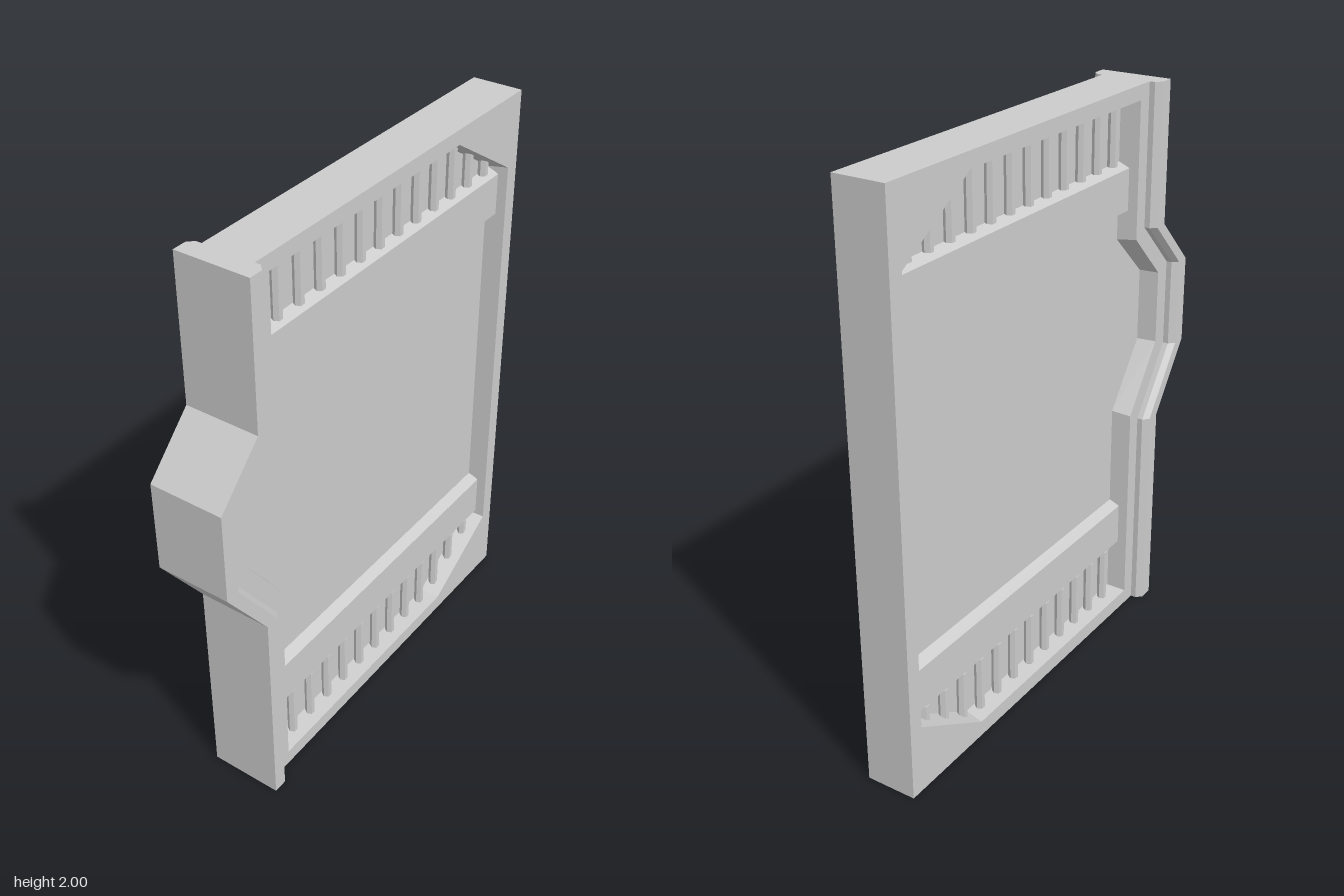
import * as THREE from 'three';

// Thin shell, open underneath
const material = new THREE.MeshStandardMaterial({ color: 0xcccccc, flatShading: true, side: THREE.DoubleSide });

const FACE = 0.09;   // half thickness of the door leaf
const FLOOR = 0.02;  // half thickness of the recessed panel
const BAR = 0.058;   // half thickness of the cross bars
const RIGHT = 0.814;

// Leading edge of the door, top to bottom
const edgePath = [[-0.64, 2], [-0.64, 1.5], [-0.815, 1.325], [-0.815, 1.01], [-0.64, 0.77], [-0.64, 0]];
// Leading rail cross-section: offset inward from the edge, z
const railProfile = [[0, 0], [0, 0.13], [0.05, 0.13], [0.07, 0.11], [0.07, FACE]];
// Recess opening, counter-clockwise
const opening = [
  [-0.515, 1.948], [-0.515, 1.47], [-0.685, 1.3], [-0.685, 1.035], [-0.515, 0.8],
  [-0.515, 0.055], [0.44, 0.055], [0.76, 0.245], [0.76, 1.747], [0.44, 1.948],
];
const inset = opening.map(([x, y]) => [x + (x < 0 ? 0.01 : -0.01), y + (y > 1.4 ? -0.008 : y < 0.9 ? 0.008 : 0)]);

const vectors = (points) => points.map(([x, y]) => new THREE.Vector2(x, y));
const at = (points, z) => points.map(([x, y]) => [x, y, z]);

// Quad strip between two matching rows of points
function strip(a, b, closed = false) {
  const index = [];
  const n = a.length;
  for (let i = 0; i < (closed ? n : n - 1); i++) {
    const j = (i + 1) % n;
    index.push(i, j, n + j, i, n + j, n + i);
  }
  const geometry = new THREE.BufferGeometry();
  geometry.setAttribute('position', new THREE.Float32BufferAttribute([...a, ...b].flat(), 3));
  geometry.setIndex(index);
  return geometry;
}

// Mirror a geometry to the back, turning its faces round
function toSide(geometry, side) {
  if (side < 0) {
    geometry.scale(1, 1, -1);
    const ix = geometry.index.array;
    for (let i = 0; i < ix.length; i += 3) [ix[i], ix[i + 1]] = [ix[i + 1], ix[i]];
  }
  geometry.computeVertexNormals();
  return geometry;
}

function buildSide(side) {
  const group = new THREE.Group();
  group.name = side > 0 ? 'frontSide' : 'backSide';
  const add = (name, geometry) => {
    const mesh = new THREE.Mesh(toSide(geometry, side), material);
    mesh.name = name;
    group.add(mesh);
  };

  // Flat frame around the recess
  const frame = new THREE.Shape(vectors([...edgePath.map(([x, y]) => [x + 0.07, y]), [RIGHT, 0], [RIGHT, 2]]));
  frame.holes.push(new THREE.Path(vectors(opening)));
  add('frame', new THREE.ShapeGeometry(frame).translate(0, 0, FACE));

  // Recess walls and floor
  add('recessWall', strip(at(opening, FACE), at(inset, FLOOR), true));
  add('recessPanel', new THREE.ShapeGeometry(new THREE.Shape(vectors(inset))).translate(0, 0, FLOOR));

  // Chamfered rail swept along the leading edge
  for (let i = 0; i < railProfile.length - 1; i++) {
    const row = ([dx, z]) => edgePath.map(([x, y]) => [x + dx, y, z]);
    add('leadingRail', strip(row(railProfile[i]), row(railProfile[i + 1])));
  }

  // Top and trailing edge; the underside stays open
  const cap = railProfile.map(([dx, z]) => [-0.64 + dx, -z]);
  const top = new THREE.Shape(vectors([...cap, [RIGHT, -FACE], [RIGHT, 0]]));
  add('topEdge', new THREE.ShapeGeometry(top).rotateX(-Math.PI / 2).translate(0, 2, 0));
  add('trailingEdge', strip([[RIGHT, 0, FACE], [RIGHT, 0, 0]], [[RIGHT, 2, FACE], [RIGHT, 2, 0]]));

  // Vertical ribs in the vents above and below the cross bars
  for (let i = 0; i < 12; i++) {
    for (const y of [0.15, 1.85]) {
      const rib = new THREE.CylinderGeometry(0.017, 0.017, 0.22, 6).rotateY(Math.PI / 6);
      add('ventRib', rib.translate(-0.425 + i * 0.1005, y, 0.04));
    }
  }
  return group;
}

// Cross bar with sloped sides, standing out of both recesses
function crossBar(low, high, name) {
  const slope = 0.018;
  const shape = new THREE.Shape(vectors([
    [-BAR, low + slope], [-FLOOR, low], [FLOOR, low], [BAR, low + slope],
    [BAR, high - slope], [FLOOR, high], [-FLOOR, high], [-BAR, high - slope],
  ]));
  const geometry = new THREE.ExtrudeGeometry(shape, { depth: 1.261, bevelEnabled: false });
  geometry.rotateY(Math.PI / 2).translate(-0.508, 0, 0);
  const mesh = new THREE.Mesh(geometry, material);
  mesh.name = name;
  return mesh;
}

export function createModel() {
  const door = new THREE.Group();
  door.name = 'slidingDoor';
  door.add(buildSide(1), buildSide(-1));
  door.add(crossBar(1.553, 1.736, 'upperCrossBar'), crossBar(0.25, 0.439, 'lowerCrossBar'));
  return door;
}
